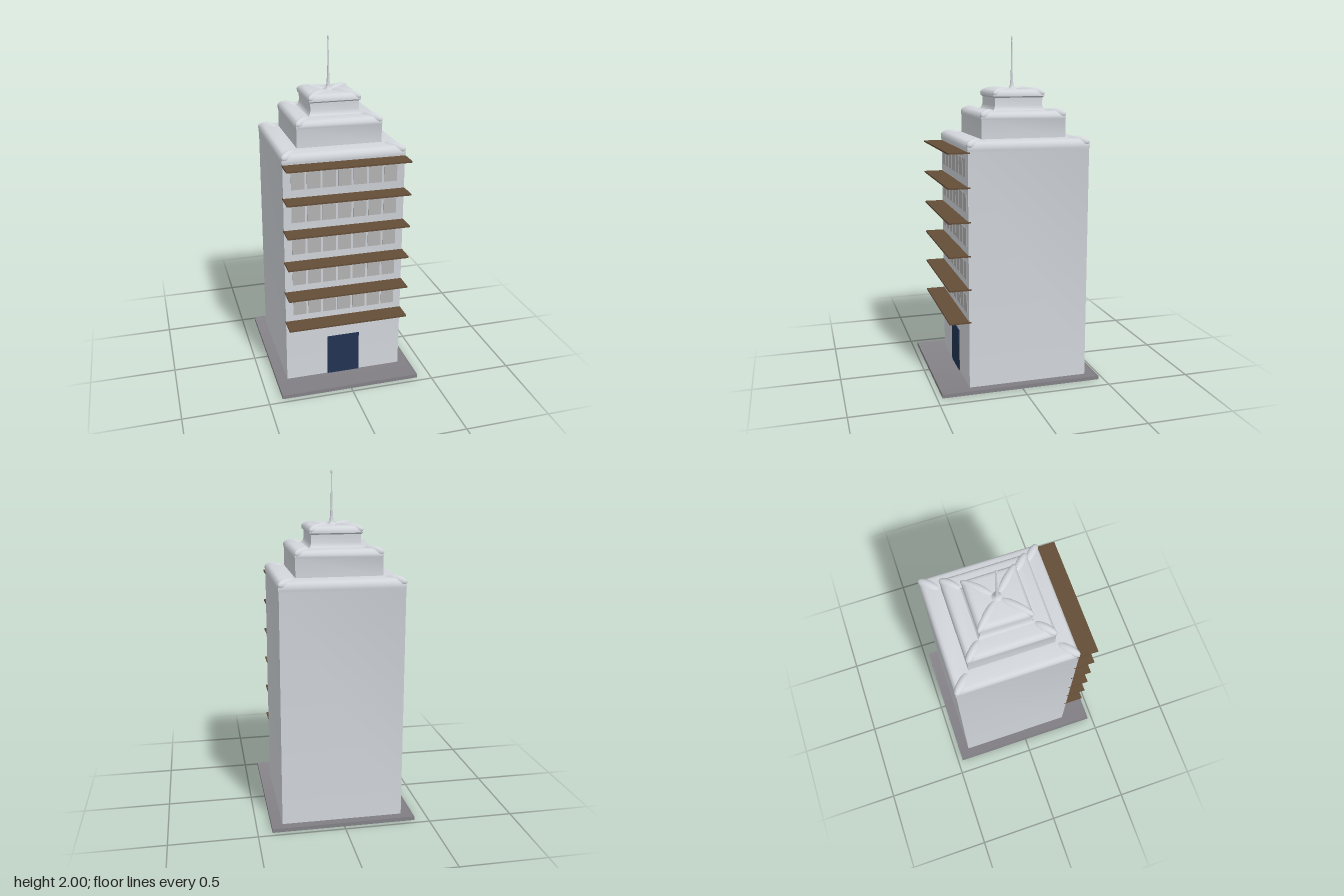
import * as THREE from 'three';
import { toCreasedNormals } from 'three/addons/utils/BufferGeometryUtils.js';

const material = (color) => new THREE.MeshStandardMaterial({ color });
const stone = material(0xd2d6db);
const paving = material(0x848287);
const glass = material(0xb2b2b2);
const timber = material(0x644d38);
const doorBlue = material(0x223352);

const TOWER_Z = -0.054; // tower axis sits behind the plot centre
const FRONT_Z = 0.298; // front wall plane

function add(parent, name, geometry, mat, x = 0, y = 0, z = 0) {
  const mesh = new THREE.Mesh(geometry, mat);
  mesh.name = name;
  mesh.position.set(x, y, z);
  parent.add(mesh);
  return mesh;
}

// Square tower section swept up a [halfWidth, y] profile
function squareLoft(profile) {
  const points = profile.map(([h, y]) => new THREE.Vector2(h * Math.SQRT2, y));
  return toCreasedNormals(new THREE.LatheGeometry(points, 4).rotateY(Math.PI / 4), 0.7);
}

// Four rounded hips lying on the diagonals of a roof
function addHips(parent, name, centre, reach, y, height, width) {
  for (const sx of [-1, 1]) {
    for (const sz of [-1, 1]) {
      const hip = add(parent, name, new THREE.SphereGeometry(1, 24, 16), stone, sx * centre, y, sz * centre);
      hip.scale.set(reach * Math.SQRT2, height, width);
      hip.rotation.y = -Math.atan2(sz, sx);
    }
  }
}

export function createModel() {
  const model = new THREE.Group();
  model.name = 'towerBlock';

  // Plot: shallow tray with a sloping rim
  const plot = squareLoft([[0, 0], [1, 0], [1, 0.022], [0.965, 0.015], [0, 0.015]]);
  add(model, 'plot', plot, paving).scale.set(0.417, 1, 0.47);

  const tower = new THREE.Group();
  tower.name = 'tower';
  tower.position.z = TOWER_Z;
  model.add(tower);

  // Main block and its rolled roof edge
  add(tower, 'mainBlock', squareLoft([
    [0.352, 0.01], [0.352, 1.365], [0.355, 1.378], [0.355, 1.39], [0.351, 1.405],
    [0.34, 1.418], [0.325, 1.425], [0.24, 1.426],
  ]), stone);
  addHips(tower, 'mainRoofHip', 0.3, 0.054, 1.404, 0.033, 0.03);

  // Second tier
  add(tower, 'middleTier', squareLoft([
    [0.247, 1.42], [0.247, 1.53], [0.25, 1.538], [0.249, 1.549], [0.243, 1.56],
    [0.234, 1.57], [0.219, 1.576], [0.178, 1.576], [0.14, 1.577],
  ]), stone);
  addHips(tower, 'middleRoofHip', 0.197, 0.052, 1.556, 0.033, 0.028);

  // Top tier with a flared neck
  add(tower, 'topTier', squareLoft([
    [0.158, 1.575], [0.148, 1.583], [0.142, 1.604], [0.142, 1.648], [0.151, 1.656],
    [0.151, 1.667], [0.145, 1.68], [0.134, 1.69], [0.118, 1.695], [0, 1.692],
  ]), stone);
  addHips(tower, 'topRoofHip', 0.077, 0.075, 1.672, 0.034, 0.028);

  // Spire
  const spire = [
    [0.034, 1.69], [0.018, 1.701], [0.011, 1.718], [0.008, 1.75], [0.005, 1.82],
    [0.003, 1.97], [0.006, 1.985], [0.006, 1.993], [0, 2],
  ].map(([r, y]) => new THREE.Vector2(r, y));
  add(tower, 'spire', new THREE.LatheGeometry(spire, 10), stone);

  // Projecting floor slabs
  const slab = new THREE.BoxGeometry(0.708, 0.009, 0.125);
  for (let i = 0; i < 6; i++) {
    add(model, 'floorSlab', slab, timber, 0, 0.404 + i * 0.192, 0.3475);
  }

  // Front windows
  const pane = new THREE.BoxGeometry(0.077, 0.105, 0.006);
  for (let row = 0; row < 5; row++) {
    for (let col = -3; col <= 3; col++) {
      add(model, 'window', pane, glass, col * 0.0895, 0.499 + row * 0.194, FRONT_Z);
    }
  }

  // Entrance
  add(model, 'door', new THREE.BoxGeometry(0.194, 0.255, 0.01), doorBlue, -0.003, 0.1425, FRONT_Z);

  return model;
}
